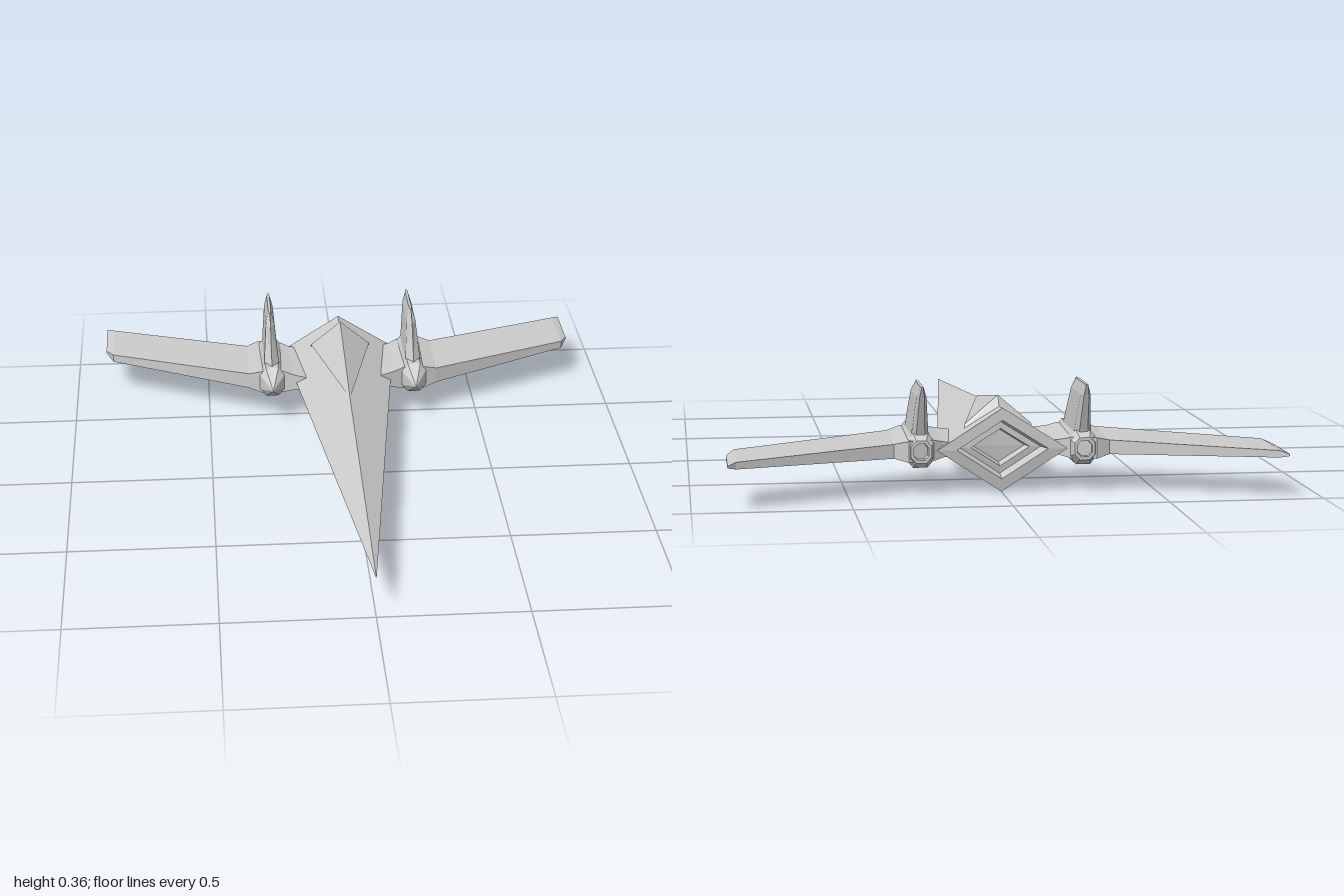
import * as THREE from 'three';

const material = new THREE.MeshStandardMaterial({ color: 0xcccccc, flatShading: true, side: THREE.DoubleSide });
const MID = 0.147; // height of the wing plane

// Skin a row of equal-length rings of [x, y, z] corners and close both ends.
function loft(name, rings, mirror = 1) {
  const loops = rings.map(r => r.map(p => new THREE.Vector3(p[0] * mirror, p[1], p[2])));
  const tris = [];
  const n = loops[0].length;
  const add = (a, b, c) => {
    const area = new THREE.Triangle(a, b, c).getArea();
    if (area > 1e-8) tris.push([a, b, c]);
  };
  for (let i = 0; i < loops.length - 1; i++) {
    for (let j = 0; j < n; j++) {
      const k = (j + 1) % n;
      const [a, b, c, d] = [loops[i][j], loops[i][k], loops[i + 1][k], loops[i + 1][j]];
      add(a, b, c);
      add(a, c, d);
    }
  }
  const cap = (loop, flip) => {
    const mid = loop.reduce((s, p) => s.add(p), new THREE.Vector3()).divideScalar(n);
    loop.forEach((p, j) => {
      const q = loop[(j + 1) % n];
      flip ? add(mid, q, p) : add(mid, p, q);
    });
  };
  cap(loops[0], true);
  cap(loops[loops.length - 1], false);

  // Turn the faces outward if the enclosed volume comes out negative.
  const volume = tris.reduce((s, [a, b, c]) => s + a.dot(b.clone().cross(c)), 0);
  const points = tris.flatMap(([a, b, c]) => (volume < 0 ? [a, c, b] : [a, b, c]));
  const geometry = new THREE.BufferGeometry().setFromPoints(points);
  geometry.computeVertexNormals();
  const mesh = new THREE.Mesh(geometry, material);
  mesh.name = name;
  return mesh;
}

// Four-cornered fuselage section; the rear end leans with its lower corner forward.
function diamond(scale, shift = 0) {
  return [
    [0, 0.147 + 0.135 * scale, -0.77 + shift],
    [0.212 * scale, 0.147, -0.77 + shift],
    [0, 0.147 - 0.142 * scale, -0.77 + 0.027 * scale + shift],
    [-0.212 * scale, 0.147, -0.77 + shift],
  ];
}

function fuselage() {
  return loft('fuselage', [
    diamond(0, 1.77),
    diamond(1),
    diamond(0.7), // rear rim
    diamond(0.62, 0.05), // exhaust recess
    diamond(0.45, 0.05),
    diamond(0.4, 0.09),
  ]);
}

function canopy() {
  const tip = [0, 0.236, -0.14];
  return loft('canopy', [
    [tip, tip, tip, tip],
    [[0, 0.309, -0.655], [0.11, 0.215, -0.66], [0, 0.2, -0.66], [-0.11, 0.215, -0.66]],
    [[0, 0.272, -0.69], [0.11, 0.2, -0.67], [0, 0.19, -0.68], [-0.11, 0.2, -0.67]],
  ]);
}

// Wing stations: x, front z, rear z, half thickness
const stations = [
  [0.14, -0.46, -0.735, 0.024],
  [0.19, -0.475, -0.745, 0.032],
  [0.225, -0.485, -0.765, 0.043],
  [0.305, -0.485, -0.785, 0.043],
  [0.35, -0.5, -0.765, 0.029],
  [0.86, -0.74, -0.975, 0.014],
  [0.887, -0.8, -1.0, 0.004],
];

function wing(side) {
  const rings = stations.map(([x, front, rear, t]) => [
    [x, MID + t, front], [x, MID + t * 0.8, rear],
    [x, MID - t * 0.8, rear], [x, MID - t, front],
  ]);
  return loft('wing', rings, side);
}

// Eight-sided engine pod with a pointed nose and a recessed nozzle
function pod(side) {
  const ring = (w, h, z) => [
    [0.5, 1], [1, 0.5], [1, -0.5], [0.5, -1], [-0.5, -1], [-1, -0.5], [-1, 0.5], [-0.5, 1],
  ].map(([u, v]) => [0.265 + u * w, MID + v * h, z]);
  return loft('enginePod', [
    ring(0, 0, -0.4),
    ring(0.046, 0.056, -0.485),
    ring(0.046, 0.056, -0.755),
    ring(0.033, 0.036, -0.79),
    ring(0.024, 0.026, -0.79),
    ring(0.02, 0.022, -0.76),
  ], side);
}

function fin(side) {
  // Height, front z, rear z, half thickness; pointed at the front edge
  const levels = [
    [0.17, -0.49, -0.755, 0.03],
    [0.205, -0.5, -0.765, 0.027],
    [0.325, -0.575, -0.812, 0.016],
    [0.36, -0.62, -0.827, 0.005],
  ];
  const rings = levels.map(([y, front, rear, t]) => [
    [0.265, y, front],
    [0.265 + t, y, front - 0.04],
    [0.265 + t, y, rear + 0.02],
    [0.265 + t * 0.5, y, rear],
    [0.265 - t * 0.5, y, rear],
    [0.265 - t, y, rear + 0.02],
    [0.265 - t, y, front - 0.04],
  ]);
  return loft('fin', rings, side);
}

export function createModel() {
  const model = new THREE.Group();
  model.name = 'spacecraft';
  model.add(fuselage(), canopy());
  for (const [name, side] of [['left', 1], ['right', -1]]) {
    const half = new THREE.Group();
    half.name = name + 'WingAssembly';
    half.add(wing(side), pod(side), fin(side));
    model.add(half);
  }
  return model;
}
